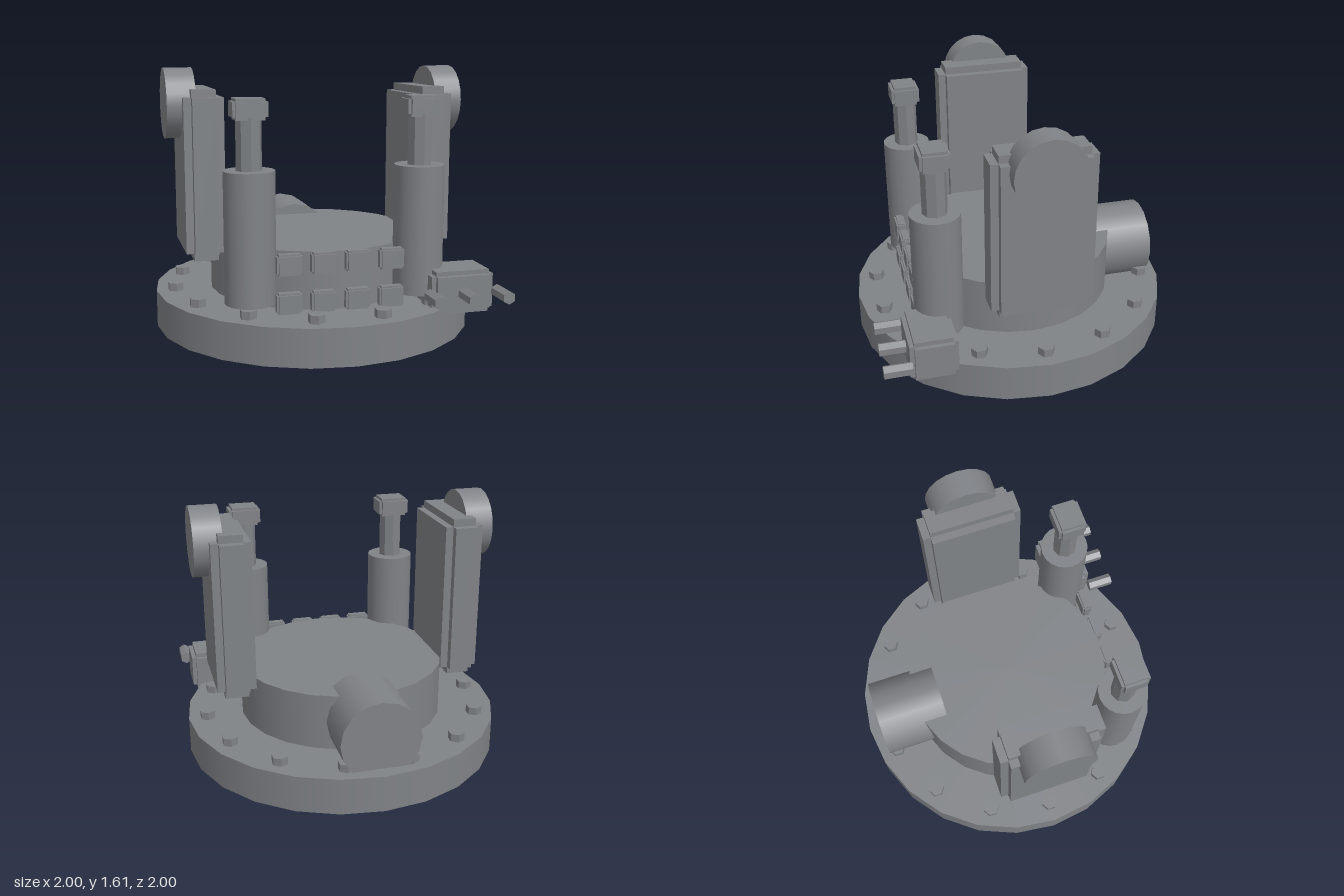
import * as THREE from 'three';

const metal = 0x808387;
const smooth = new THREE.MeshStandardMaterial({ color: metal });
const faceted = new THREE.MeshStandardMaterial({ color: metal, flatShading: true });

export function createModel() {
  const model = new THREE.Group();

  // Cylinder along the given axis, centred at (x, y, z)
  function cylinder(name, r, length, sides, x, y, z, axis = 'y') {
    const geo = new THREE.CylinderGeometry(r, r, length, sides);
    if (axis === 'x') geo.rotateZ(Math.PI / 2);
    if (axis === 'z') geo.rotateX(Math.PI / 2);
    const mesh = new THREE.Mesh(geo, sides > 8 ? smooth : faceted);
    mesh.name = name;
    mesh.position.set(x, y, z);
    model.add(mesh);
  }

  // Block with stepped edges: three crossed slabs, each full size along one axis
  function steppedBlock(name, w, h, d, step, x, y, z) {
    const group = new THREE.Group();
    group.name = name;
    const s = 2 * step;
    for (const size of [[w, h - s, d - s], [w - s, h, d - s], [w - s, h - s, d]]) {
      const slab = new THREE.Mesh(new THREE.BoxGeometry(...size), faceted);
      slab.name = name + 'Slab';
      group.add(slab);
    }
    group.position.set(x, y, z);
    model.add(group);
  }

  // Base plate and central drum
  cylinder('basePlate', 1, 0.227, 24, 0, 0.1135, 0);
  cylinder('centralDrum', 0.652, 0.355, 24, 0, 0.3975, 0);

  // Ring of hexagonal bolts
  const boltCount = 14;
  for (let i = 0; i < boltCount; i++) {
    const a = (i / boltCount) * Math.PI * 2;
    cylinder('bolt', 0.05, 0.06, 6, 0.88 * Math.cos(a), 0.246, 0.88 * Math.sin(a));
  }

  for (const side of [-1, 1]) {
    // Side panel with its round hub
    steppedBlock('sidePanel', 0.239, 1.024, 0.616, 0.047, side * 0.718, 0.977, 0);
    cylinder('panelHub', 0.214, 0.172, 20, side * 0.841, 1.397, 0, 'x');

    // Front piston: barrel, octagonal rod and cap
    const px = side * 0.513;
    cylinder('pistonBarrel', 0.15, 0.77, 20, px, 0.666, 0.565);
    cylinder('pistonRod', 0.075, 0.36, 8, px, 1.2, 0.565);
    steppedBlock('pistonCap', 0.203, 0.122, 0.176, 0.018, px, 1.397, 0.565);
  }

  // Two rows of front buttons
  for (const y of [0.289, 0.516]) {
    for (let i = 0; i < 4; i++) {
      steppedBlock('button', 0.149, 0.124, 0.062, 0.011, (i - 1.5) * 0.205, y, 0.666);
    }
  }

  // Rear pipe running into the drum
  cylinder('rearPipe', 0.245, 0.435, 16, 0, 0.402, -0.693, 'z');

  // Control box with three hexagonal plugs
  steppedBlock('controlBox', 0.387, 0.257, 0.282, 0.027, 0.716, 0.31, 0.662);
  for (let i = -1; i <= 1; i++) {
    cylinder('plug', 0.04, 0.165, 6, 0.716 + i * 0.212, 0.309, 0.878, 'z');
  }

  return model;
}
